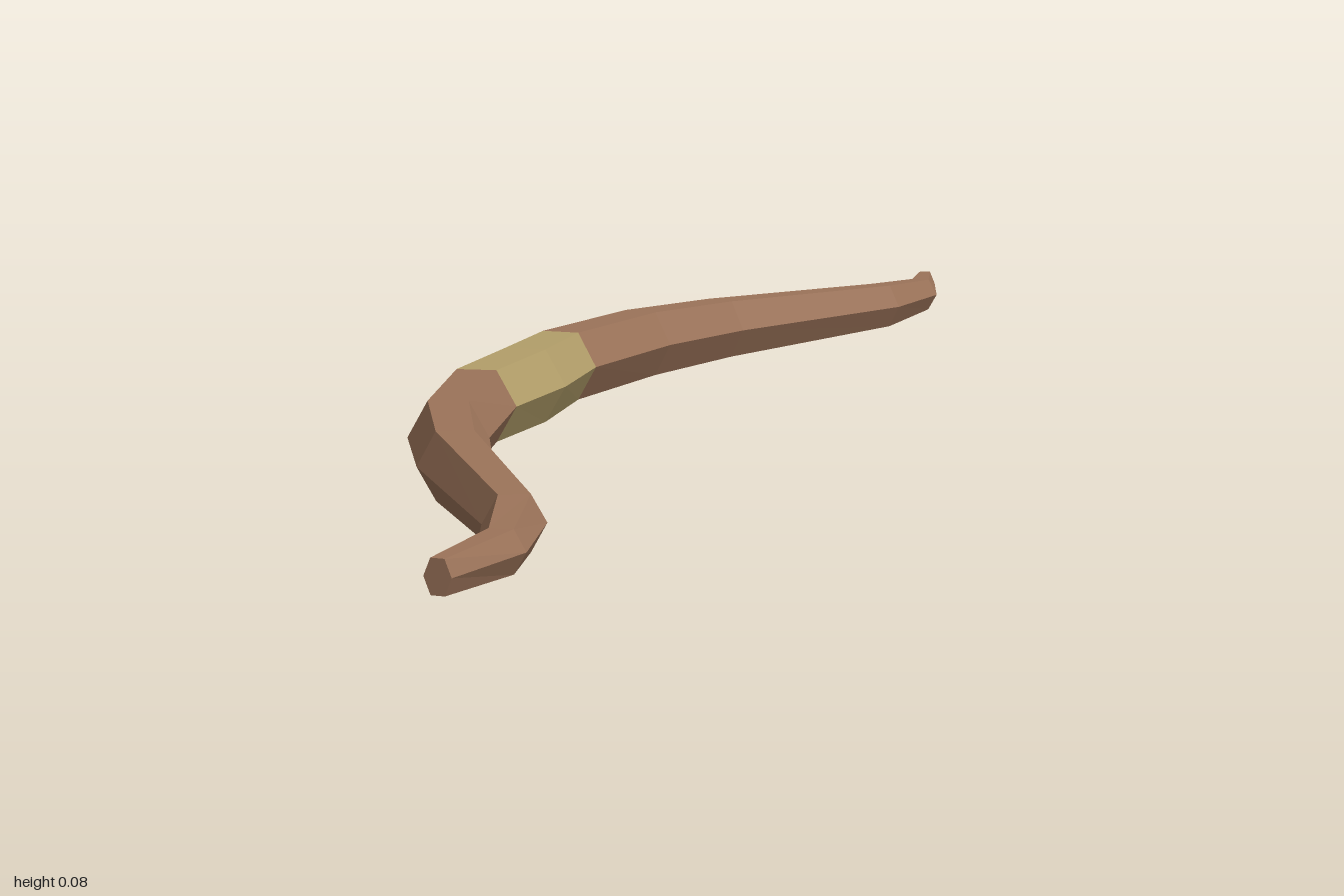
import * as THREE from 'three';

const SIDES = 6;
const MID_Y = 0.04;

// Half of the bow's spine, from the middle of the grip to the tip:
// z, centre x, radius in plan, radius in height
const half = [
  [0, -0.117, 0.046, 0.046],
  [0.15, -0.123, 0.043, 0.044],
  [0.35, -0.086, 0.041, 0.043],
  [0.5, -0.028, 0.037, 0.039],
  [0.76, 0.115, 0.029, 0.030],
  [0.88, 0.142, 0.022, 0.0225],
  [0.995, 0.125, 0.013, 0.018],
];
const mirrored = half.slice(1).reverse().map(([z, ...rest]) => [-z, ...rest]);
const stations = [...mirrored, ...half];

// Hexagonal ring at each station, square to the local direction of the spine
const rings = stations.map(([z, x, rx, ry], i) => {
  const a = stations[Math.max(i - 1, 0)];
  const b = stations[Math.min(i + 1, stations.length - 1)];
  const tilt = Math.atan2(b[1] - a[1], b[0] - a[0]);
  return Array.from({ length: SIDES }, (_, k) => {
    const t = (k / SIDES) * Math.PI * 2;
    const w = Math.cos(t) * rx;
    return [x + w * Math.cos(tilt), MID_Y + Math.sin(t) * ry, z - w * Math.sin(tilt)];
  });
});

// Skin the rings from one index to another, with optional end caps
function loft(from, to, capStart, capEnd) {
  const pos = [];
  const tri = (...points) => points.forEach((p) => pos.push(...p));
  for (let i = from; i < to; i++) {
    for (let k = 0; k < SIDES; k++) {
      const n = (k + 1) % SIDES;
      tri(rings[i][k], rings[i][n], rings[i + 1][n]);
      tri(rings[i][k], rings[i + 1][n], rings[i + 1][k]);
    }
  }
  for (let k = 1; k < SIDES - 1; k++) {
    if (capStart) tri(rings[from][0], rings[from][k + 1], rings[from][k]);
    if (capEnd) tri(rings[to][0], rings[to][k], rings[to][k + 1]);
  }
  const geo = new THREE.BufferGeometry();
  geo.setAttribute('position', new THREE.Float32BufferAttribute(pos, 3));
  geo.computeVertexNormals();
  return geo;
}

export function createModel() {
  const group = new THREE.Group();
  group.name = 'bow';
  const wood = new THREE.MeshStandardMaterial({ color: 0x9b7359, flatShading: true });
  const wrap = new THREE.MeshStandardMaterial({ color: 0xb29e69, flatShading: true });

  const add = (name, geometry, material) => {
    const mesh = new THREE.Mesh(geometry, material);
    mesh.name = name;
    group.add(mesh);
  };

  // Two recurved limbs with the wrapped grip between them
  const mid = half.length - 1;
  add('backLimb', loft(0, mid - 1, true, false), wood);
  add('grip', loft(mid - 1, mid + 1, false, false), wrap);
  add('frontLimb', loft(mid + 1, rings.length - 1, false, true), wood);
  return group;
}
